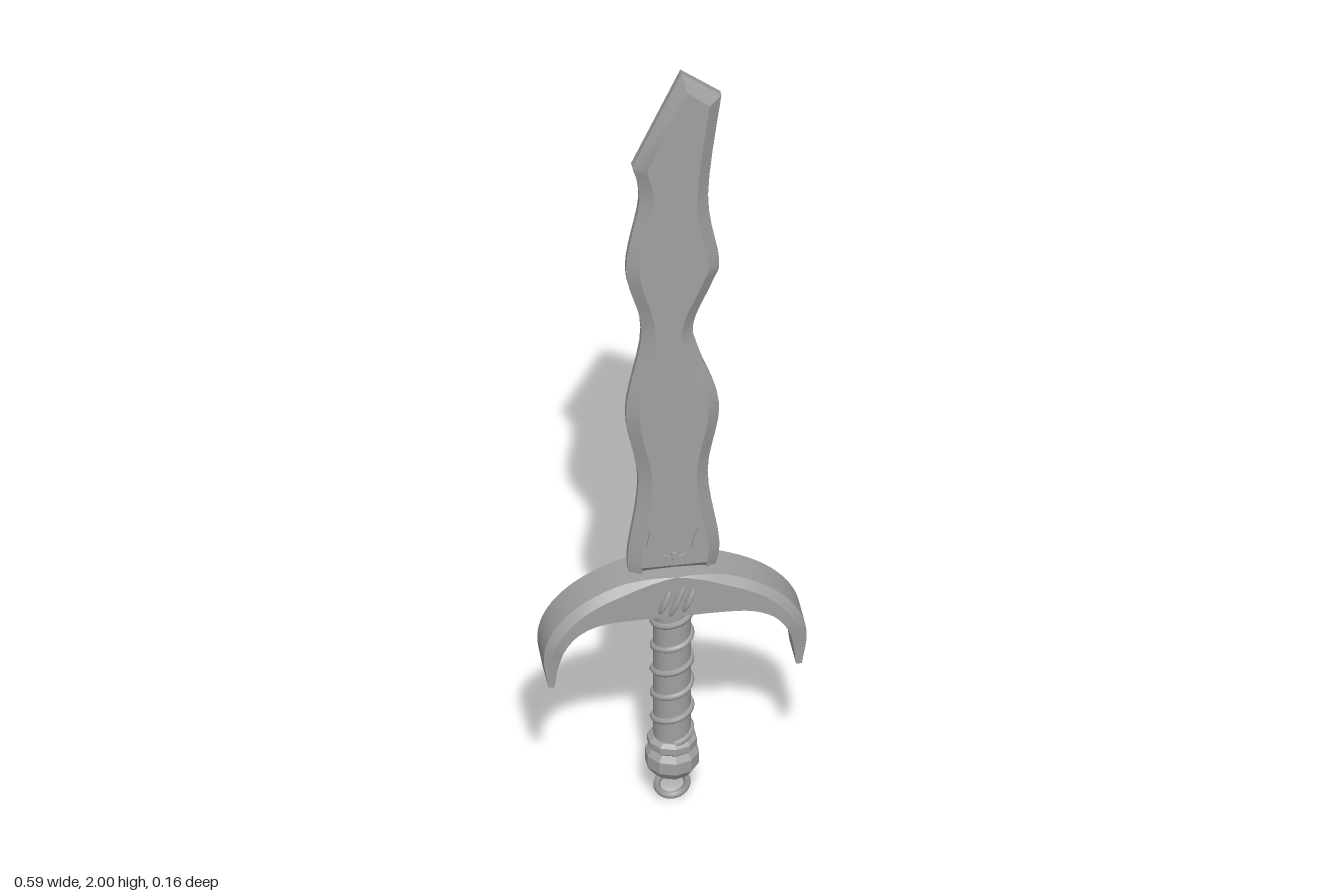
import * as THREE from 'three';
import { toCreasedNormals } from 'three/addons/utils/BufferGeometryUtils.js';

const V2 = (p) => new THREE.Vector2(p[0], p[1]);

// Wavy blade outline: smooth left and right edges, sharp slanted tip
function bladeGeometry() {
  const left = [[-0.098, 0.635], [-0.1, 0.7], [-0.077, 0.89], [-0.105, 1.08], [-0.07, 1.3],
    [-0.105, 1.47], [-0.075, 1.66], [-0.091, 1.755]];
  const right = [[0.11, 1.93], [0.08, 1.66], [0.105, 1.48], [0.09, 1.42], [0.047, 1.31], [0.06, 1.23],
    [0.105, 1.08], [0.079, 0.9], [0.105, 0.71], [0.096, 0.635]];
  const smooth = (pts, n) => new THREE.SplineCurve(pts.map(V2)).getPoints(n);
  const outline = [...smooth(left, 42), V2([0.02, 2.0]), ...smooth(right, 45)];
  const geo = new THREE.ExtrudeGeometry(new THREE.Shape(outline), {
    depth: 0.016, bevelEnabled: true, bevelSegments: 1,
    bevelSize: 0.028, bevelOffset: -0.028, bevelThickness: 0.022,
  });
  geo.translate(0, 0, -0.008);
  return toCreasedNormals(geo, 0.5);
}

// Crescent guard swept from tip to tip, with a chamfered upper edge
function guardGeometry() {
  // outer x, outer y, inner x, inner y, half depth
  const half = [
    [0.285, 0.37, 0.272, 0.37, 0.045], [0.296, 0.45, 0.264, 0.43, 0.052], [0.285, 0.502, 0.25, 0.48, 0.061],
    [0.255, 0.55, 0.22, 0.518, 0.063], [0.2, 0.597, 0.172, 0.54, 0.063], [0.11, 0.637, 0.095, 0.546, 0.063],
  ];
  const rows = [...half.map(([a, b, c, d, z]) => [-a, b, -c, d, z]), [0, 0.653, 0, 0.545, 0.063],
    ...half.slice().reverse()];
  const outer = new THREE.CatmullRomCurve3(rows.map((r) => new THREE.Vector3(r[0], r[1], r[4])));
  const inner = new THREE.CatmullRomCurve3(rows.map((r) => new THREE.Vector3(r[2], r[3], r[4])));
  const N = 48, pos = [], idx = [];
  for (let i = 0; i <= N; i++) {
    const o = outer.getPoint(i / N), n = inner.getPoint(i / N);
    const k = Math.min(1, Math.abs(o.x) / 0.12);
    const edgeZ = THREE.MathUtils.lerp(o.z, 0.045, k);
    const s = o.clone().lerp(n, Math.min(0.6, 0.018 * k / o.distanceTo(n)));
    pos.push(o.x, o.y, edgeZ, s.x, s.y, o.z, n.x, n.y, o.z,
      n.x, n.y, -o.z, s.x, s.y, -o.z, o.x, o.y, -edgeZ);
  }
  for (let i = 0; i < N; i++) {
    for (let j = 0; j < 6; j++) {
      const a = i * 6 + j, b = i * 6 + (j + 1) % 6;
      idx.push(a, b, a + 6, b, b + 6, a + 6);
    }
  }
  for (let j = 1; j < 5; j++) {
    idx.push(0, j + 1, j, N * 6, N * 6 + j, N * 6 + j + 1);
  }
  const geo = new THREE.BufferGeometry();
  geo.setAttribute('position', new THREE.Float32BufferAttribute(pos, 3));
  geo.setIndex(idx);
  return toCreasedNormals(geo, 0.5);
}

// Helical cord around the grip
class Helix extends THREE.Curve {
  getPoint(t, target = new THREE.Vector3()) {
    const a = t * Math.PI * 2 * 5.5;
    return target.set(Math.sin(a) * 0.042, 0.18 + 0.36 * t, Math.cos(a) * 0.042);
  }
}

export function createModel() {
  const model = new THREE.Group();
  const steel = new THREE.MeshStandardMaterial({ color: 0xa0a0a0 });
  steel.name = 'grey steel';
  const add = (name, geo, parent = model) => {
    const mesh = new THREE.Mesh(geo, steel);
    mesh.name = name;
    parent.add(mesh);
    return mesh;
  };

  add('blade', bladeGeometry());
  add('guard', guardGeometry());

  // Raised ornaments, repeated on front and back
  const horn = [[-0.056, 0.765], [-0.062, 0.725], [-0.052, 0.692], [-0.03, 0.678], [-0.008, 0.676],
    [-0.008, 0.69], [-0.026, 0.696], [-0.038, 0.712], [-0.042, 0.735]];
  const fang = [[-0.006, 0.7], [0.006, 0.7], [0.005, 0.68], [0, 0.665], [-0.005, 0.68]];
  const plate = (pts) => new THREE.ExtrudeGeometry(new THREE.Shape(pts.map(V2)),
    { depth: 0.008, bevelEnabled: false }).translate(0, 0, 0.028);
  for (const side of ['front', 'back']) {
    const ornaments = new THREE.Group();
    ornaments.name = side + 'Ornaments';
    if (side === 'back') ornaments.rotation.y = Math.PI;
    for (const s of [-1, 1]) add('horn', plate(horn.map(([x, y]) => [x * s, y])), ornaments);
    add('fang', plate(fang), ornaments);
    for (const i of [-1, 0, 1]) {
      const claw = add('clawMark', new THREE.SphereGeometry(1, 12, 8), ornaments);
      claw.scale.set(0.007, i === 0 ? 0.043 : 0.033, 0.015);
      claw.position.set(i * 0.027, 0.588, 0.063);
      claw.rotation.z = -0.38;
    }
    model.add(ornaments);
  }

  // Grip with its spiral wrap
  add('grip', new THREE.CylinderGeometry(0.042, 0.042, 0.38, 24).translate(0, 0.36, 0));
  add('gripWrap', new THREE.TubeGeometry(new Helix(), 160, 0.008, 6));

  // Faceted pommel
  const profile = [[0, 0.084], [0.046, 0.084], [0.061, 0.105], [0.061, 0.135], [0.05, 0.15],
    [0.056, 0.156], [0.056, 0.172], [0.046, 0.18], [0, 0.18]];
  const pommel = new THREE.LatheGeometry(profile.map(V2), 10);
  add('pommel', toCreasedNormals(pommel, 0.3));

  // Hanging ring
  add('pommelRing', new THREE.TorusGeometry(0.034, 0.008, 10, 28).translate(0, 0.042, 0));

  return model;
}
